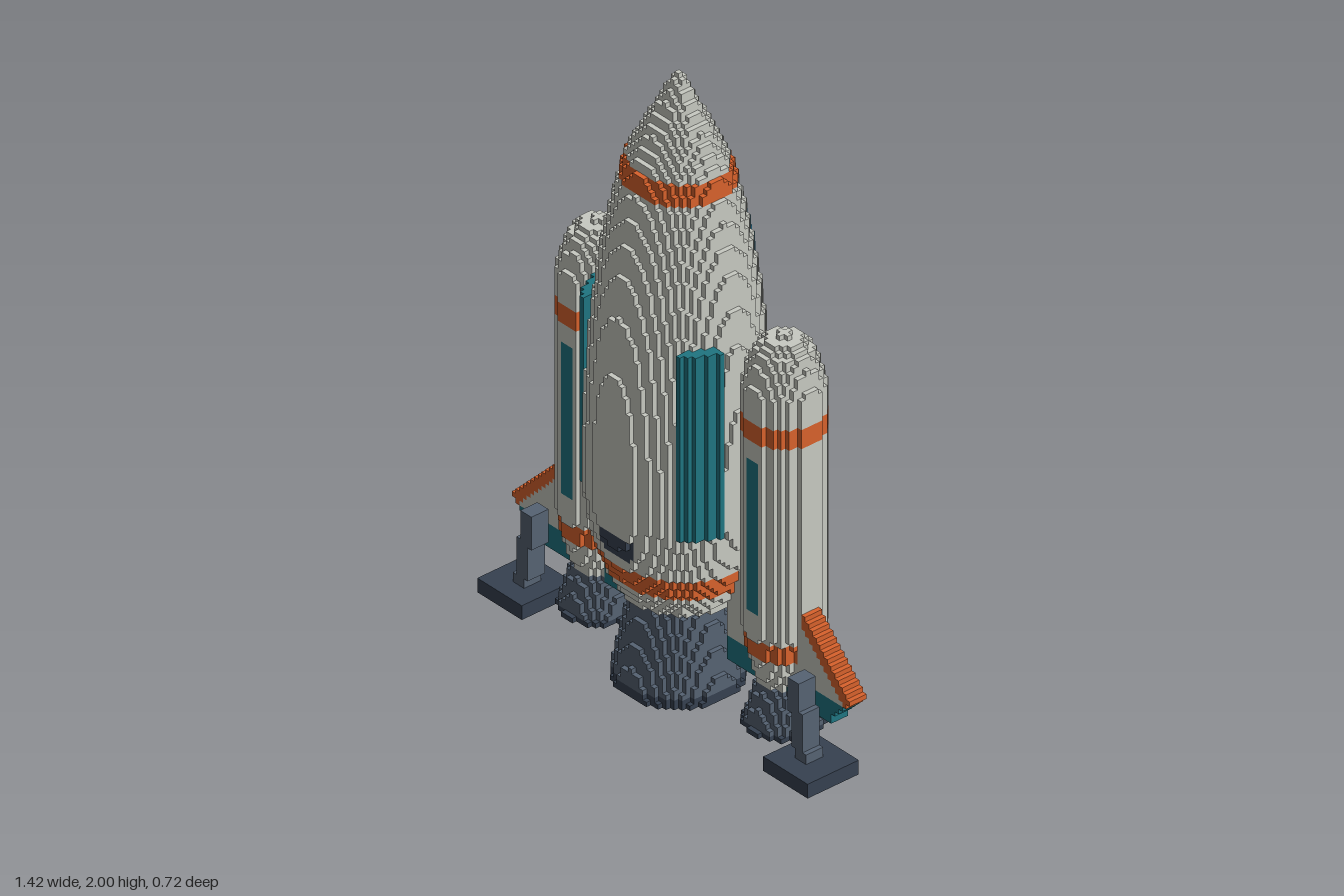
import * as THREE from 'three';

const H = 2 / 128;               // cube size
const NX = 45, NY = 128, NZ = 24; // grid runs -NX..NX, 0..NY-1, -NZ..NZ
const SX = 2 * NX + 3, SY = NY + 2, SZ = 2 * NZ + 3;
const at = (i, j, k) => ((i + NX + 1) * SY + j + 1) * SZ + k + NZ + 1;

const COLOURS = {
  hullGrey: 0xc8cac2, orange: 0xd9622c, teal: 0x1f7581,
  windowBlue: 0x2b86ae, slate: 0x566373, darkSlate: 0x364150,
};

// radius at height y from [height, radius] pairs, top to bottom
function profile(points, y) {
  for (let n = 1; n < points.length; n++) {
    const [y0, r0] = points[n - 1], [y1, r1] = points[n];
    if (y <= y0 && y >= y1) return r0 + (r1 - r0) * (y0 - y) / (y0 - y1);
  }
  return 0;
}
const within = (v, a, b) => v > a && v < b;

// convex polygon test, corners in counter-clockwise order
const inside = (poly, x, y) => poly.every(([ax, ay], n) => {
  const [bx, by] = poly[(n + 1) % poly.length];
  return (bx - ax) * (y - ay) - (by - ay) * (x - ax) >= 0;
});

const HULL = [[2, 0.008], [1.95, 0.035], [1.88, 0.07], [1.8, 0.115], [1.715, 0.157], [1.64, 0.175],
  [1.5, 0.208], [1.4, 0.226], [1.2, 0.252], [1, 0.267], [0.8, 0.276], [0.65, 0.276], [0.55, 0.264],
  [0.46, 0.243], [0.38, 0.212], [0.31, 0.17]];
const BOOSTER = [[1.305, 0.02], [1.29, 0.05], [1.26, 0.08], [1.22, 0.098], [1.14, 0.117], [0.37, 0.117],
  [0.33, 0.104], [0.28, 0.1], [0.22, 0.085], [0.17, 0.066]];
const MAIN_NOZZLE = [[0.33, 0.125], [0.2, 0.15], [0.1, 0.172], [0.02, 0.184]];
const SIDE_NOZZLE = [[0.19, 0.066], [0.1, 0.095], [0.03, 0.115]];
const SIDE_FIN = [[0.2, 0.15], [0.615, 0.15], [0.705, 0.255], [0.7, 0.272], [0.5, 0.465], [0.2, 0.465]];
const TAIL_FIN = [[0.07, 0.275], [0.275, 0.275], [0.365, 0.455], [0.13, 0.815], [0.07, 0.815]];

// flared bell with a dark hollow
function nozzle(points, x, y, z, depth) {
  const R = profile(points, y), r = Math.hypot(x, z);
  if (r >= R) return null;
  if (y < depth && r < R - 0.034) return null;
  if (y < depth + H && r < R - 0.018) return 'darkSlate';
  return y < 0.046 ? 'darkSlate' : 'slate';
}

function hull(x, y, z) {
  const R = profile(HULL, y), dz = z - 0.11;
  if (Math.hypot(x, dz / 0.9) >= R) return null;
  if (within(y, 1.65, 1.717) || within(y, 0.39, 0.465)) return 'orange';
  if (z < 0.08 && Math.hypot(x, y - 1.445) < 0.13) return 'windowBlue';
  if (z > 0.28 && within(y, 0.495, 0.577) && Math.abs(x) < Math.min(0.07, 0.045 + (y - 0.495))) return 'darkSlate';
  return 'hullGrey';
}

function tailFin(x, y, z) {
  if (Math.abs(x) > 0.037 || !inside(TAIL_FIN, -z, y)) return null;
  const upper = (0.815 - y) * 0.235 / 0.36 + 0.13 + z;     // distance behind the leading edge
  const lower = 0.275 + (y - 0.275) * 0.5 + z;             // distance before the trailing edge
  return upper < 0.042 || lower < 0.036 ? 'orange' : 'hullGrey';
}

function sideFin(x, y, z) {
  if (!within(z, 0.039, 0.1) || !inside(SIDE_FIN, x, y)) return null;
  if (y < 0.23) return 'teal';
  return x > 0.5 && y > 0.465 - 0.965 * (x - 0.5) - 0.048 ? 'orange' : 'hullGrey';
}

function booster(x, y, z) {
  const dx = x - 0.39, dz = z - 0.0625;
  if (Math.hypot(dx, dz) >= profile(BOOSTER, y)) return null;
  if (within(y, 1, 1.06) || within(y, 0.28, 0.336)) return 'orange';
  return Math.abs(dx) < 0.024 && dz > 0.06 && within(y, 0.44, 0.935) ? 'teal' : 'hullGrey';
}

// curved panel standing slightly proud of the hull
function sidePanel(x, y, z) {
  return x > 0.197 && within(z, 0.178, 0.285) && within(y, 0.625, 1.23)
    && Math.hypot(x / 0.282, (z - 0.11) / 0.254) < 1 ? 'teal' : null;
}

const strut = (x, y, z) =>
  within(x, 0.24, 0.3) && within(y, 0.7, 0.765) && within(z, 0.005, 0.09) ? 'orange' : null;

function sideLeg(x, y, z) {
  if (y < 0.048) return within(x, 0.5, 0.695) && within(z, 0.06, 0.24) ? 'darkSlate' : null;
  const lean = 0.59 - 0.13 * (y - 0.048);
  return y < 0.29 && Math.abs(x - lean) < 0.024 && within(z, 0.12, 0.18) ? 'slate' : null;
}

function tailLeg(x, y, z) {
  if (y < 0.048) return Math.abs(x) < 0.09 && within(z, -0.327, -0.145) ? 'darkSlate' : null;
  return y < 0.282 && Math.abs(x) < 0.028 && within(z, -0.263, -0.208) ? 'slate' : null;
}

// later parts replace earlier ones where they meet
function listParts() {
  const parts = [['tailFin', tailFin]];
  const bothSides = (name, fn) => {
    for (const s of [1, -1]) parts.push([(s > 0 ? 'left' : 'right') + name, (x, y, z) => fn(s * x, y, z)]);
  };
  bothSides('Fin', sideFin);
  bothSides('Strut', strut);
  bothSides('BoosterNozzle', (x, y, z) => nozzle(SIDE_NOZZLE, x - 0.39, y, z - 0.0625, 0.1));
  bothSides('Booster', booster);
  parts.push(['mainNozzle', (x, y, z) => nozzle(MAIN_NOZZLE, x, y, z - 0.11, 0.17)], ['hull', hull]);
  bothSides('SidePanel', sidePanel);
  bothSides('LandingLeg', sideLeg);
  parts.push(['tailLandingLeg', tailLeg]);
  return parts;
}

export function createModel() {
  const model = new THREE.Group();
  model.name = 'rocket';
  const names = Object.keys(COLOURS);
  const materials = names.map((name) => {
    const m = new THREE.MeshStandardMaterial({ color: COLOURS[name] });
    m.name = name;
    return m;
  });

  // fill the grid: each cell holds part * 16 + colour + 1
  const parts = listParts(), grid = new Uint16Array(SX * SY * SZ);
  const eachCell = (visit) => {
    for (let i = -NX; i <= NX; i++) for (let j = 0; j < NY; j++) for (let k = -NZ; k <= NZ; k++) visit(i, j, k);
  };
  eachCell((i, j, k) => {
    parts.forEach(([, fn], p) => {
      const c = fn(i * H, (j + 0.5) * H, k * H);
      if (c) grid[at(i, j, k)] = p * 16 + names.indexOf(c) + 1;
    });
  });

  // exposed cube faces, joined into strips along one axis
  const buffers = new Map();
  for (const axis of [0, 1, 2]) for (const sign of [1, -1]) {
    const run = axis === 1 ? 0 : 1, across = 3 - axis - run;
    const out = [0, 0, 0], step = [0, 0, 0];
    out[axis] = sign;
    step[run] = 1;
    const shown = (c) => {
      const id = grid[at(...c)];
      return id && !grid[at(c[0] + out[0], c[1] + out[1], c[2] + out[2])] ? id : 0;
    };
    const flip = ((run - axis + 3) % 3 === 1 ? 1 : -1) * sign < 0;
    eachCell((i, j, k) => {
      const cell = [i, j, k], id = shown(cell);
      if (!id || shown([i - step[0], j - step[1], k - step[2]]) === id) return;
      let n = 1;
      while (shown([i + n * step[0], j + n * step[1], k + n * step[2]]) === id) n++;
      const corner = (a, b) => {
        const p = [(i - 0.5) * H, j * H, (k - 0.5) * H];
        if (sign > 0) p[axis] += H;
        p[run] += a * n * H;
        p[across] += b * H;
        return p;
      };
      const q = [corner(0, 0), corner(1, 0), corner(1, 1), corner(0, 1)];
      if (flip) q.reverse();
      if (!buffers.has(id)) buffers.set(id, { position: [], normal: [] });
      const buffer = buffers.get(id);
      for (const v of [0, 1, 2, 0, 2, 3]) {
        buffer.position.push(...q[v]);
        buffer.normal.push(...out);
      }
    });
  }

  // one group per part, one mesh per colour
  parts.forEach(([name], p) => {
    const group = new THREE.Group();
    group.name = name;
    materials.forEach((material, c) => {
      const buffer = buffers.get(p * 16 + c + 1);
      if (!buffer) return;
      const geometry = new THREE.BufferGeometry();
      for (const key of ['position', 'normal']) {
        geometry.setAttribute(key, new THREE.Float32BufferAttribute(buffer[key], 3));
      }
      const mesh = new THREE.Mesh(geometry, material);
      mesh.name = `${name} ${material.name}`;
      group.add(mesh);
    });
    model.add(group);
  });
  return model;
}
